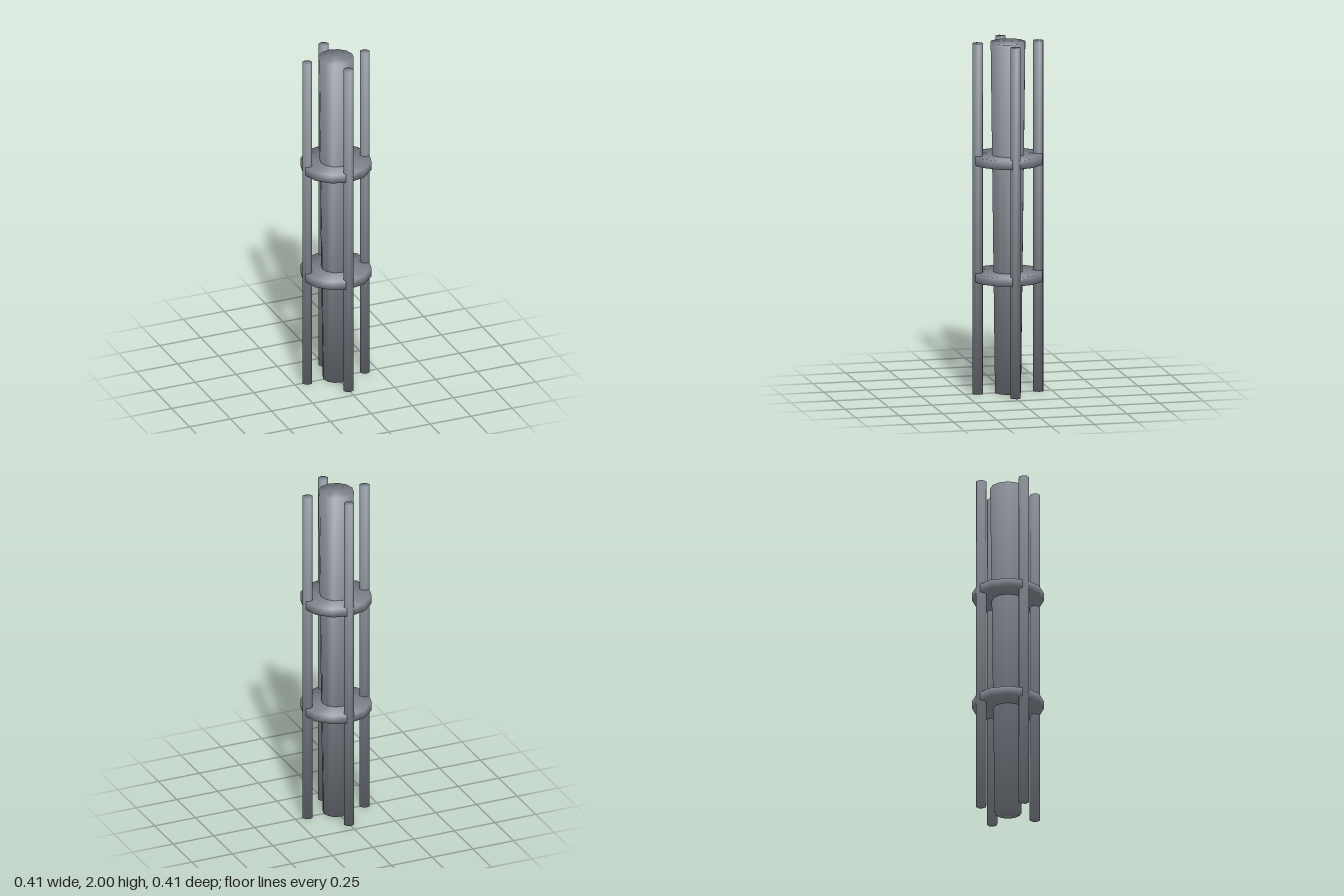
import * as THREE from 'three';

const HEIGHT = 2;
const material = new THREE.MeshStandardMaterial({ color: 0x80858e });

// Cylinder whose rim normals tilt halfway between side and cap,
// so the shading runs smoothly over the whole surface
function softCylinder(rTop, rBottom, height, sides) {
  const geometry = new THREE.CylinderGeometry(rTop, rBottom, height, sides);
  const { position, normal } = geometry.attributes;
  const n = new THREE.Vector3();
  for (let i = 0; i < position.count; i++) {
    n.fromBufferAttribute(position, i).setY(0);
    if (n.length() > 1e-6) n.setLength(1.18);
    n.setY(Math.sign(position.getY(i))).normalize();
    normal.setXYZ(i, n.x, n.y, n.z);
  }
  return geometry;
}

export function createModel() {
  const model = new THREE.Group();
  model.name = 'bracedColumn';

  const add = (name, geometry, x, y, z) => {
    const mesh = new THREE.Mesh(geometry, material);
    mesh.name = name;
    mesh.position.set(x, y, z);
    model.add(mesh);
  };

  // Central shaft, slightly narrower at the foot
  add('shaft', softCylinder(0.1, 0.075, HEIGHT, 12), 0, HEIGHT / 2, 0);

  // Four slim rods around the shaft
  const rod = softCylinder(0.03, 0.03, HEIGHT, 8);
  for (let i = 0; i < 4; i++) {
    const a = (i * Math.PI) / 2;
    add(`rod${i + 1}`, rod, 0.175 * Math.cos(a), HEIGHT / 2, 0.175 * Math.sin(a));
  }

  // Two collar discs tying the rods to the shaft at each third
  const collar = softCylinder(0.2, 0.2, 0.05, 12);
  add('lowerCollar', collar, 0, HEIGHT / 3, 0);
  add('upperCollar', collar, 0, (HEIGHT * 2) / 3, 0);

  return model;
}
